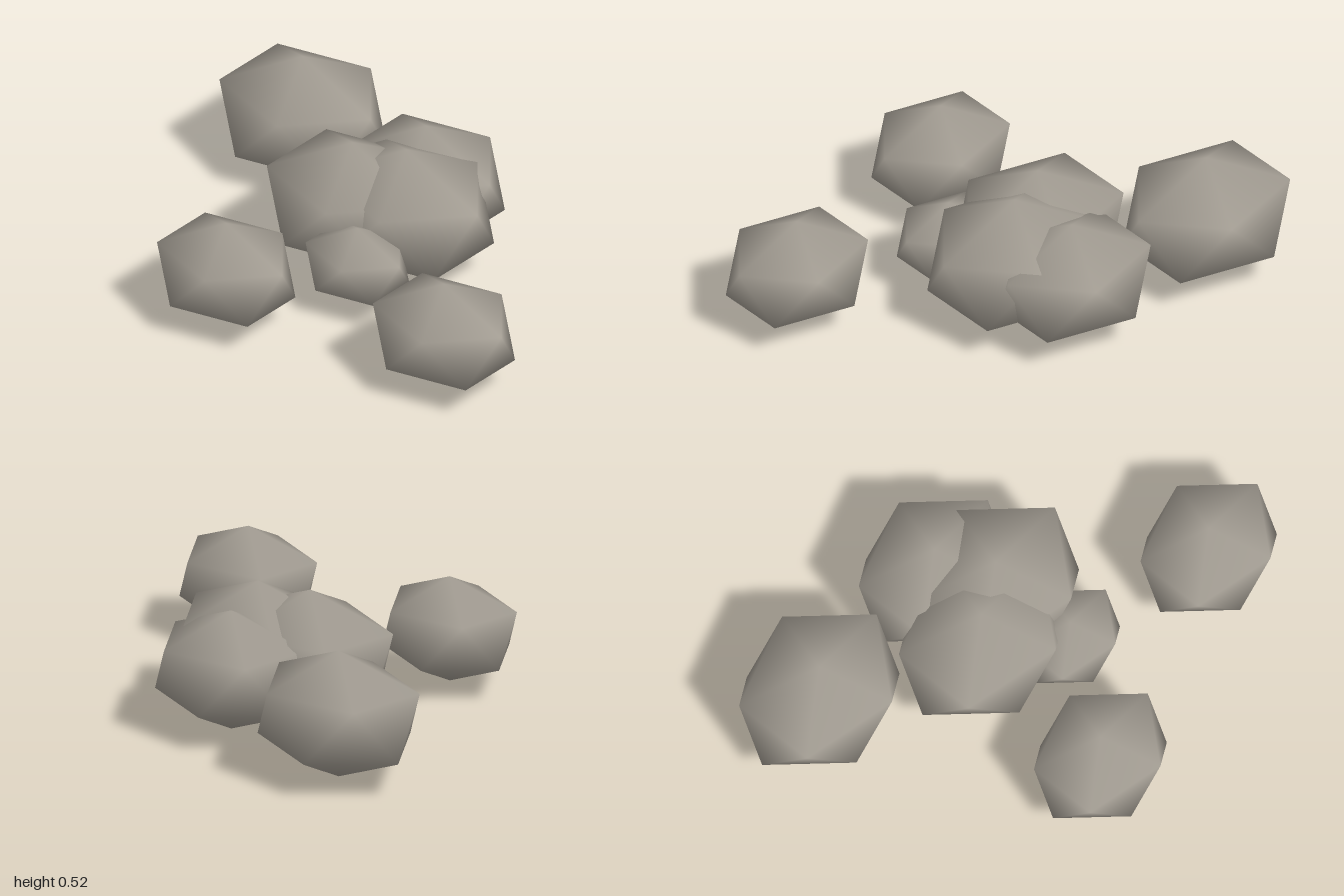
import * as THREE from 'three';

// Unit icosahedron standing on a pole, with shared vertices for smooth normals
function stoneGeometry() {
  const h = 1 / Math.sqrt(5), r = 2 * h;
  const points = [0, 1, 0];
  for (let ring = 0; ring < 2; ring++) {
    for (let i = 0; i < 5; i++) {
      const a = (i + ring / 2) * Math.PI * 2 / 5;
      points.push(r * Math.cos(a), ring ? -h : h, r * Math.sin(a));
    }
  }
  points.push(0, -1, 0);

  const faces = [];
  for (let i = 0; i < 5; i++) {
    const j = (i + 1) % 5;
    const u = 1 + i, un = 1 + j, l = 6 + i, ln = 6 + j;
    faces.push(0, un, u, u, un, l, l, un, ln, l, ln, 11);
  }
  const geometry = new THREE.BufferGeometry();
  geometry.setAttribute('position', new THREE.Float32BufferAttribute(points, 3));
  geometry.setIndex(faces);
  geometry.computeVertexNormals();
  return geometry;
}

export function createModel() {
  const group = new THREE.Group();
  group.name = 'stoneCluster';
  const stone = new THREE.MeshStandardMaterial({ color: 0xa39d93 });
  stone.name = 'warm grey stone';
  const geometry = stoneGeometry();

  // name, centre x, y, z, size
  const stones = [
    ['backRightStone', -0.662, 0.261, -0.468, 0.314],
    ['backStone', -0.02, 0.254, -0.439, 0.295],
    ['middleRightStone', -0.117, 0.267, -0.13, 0.322],
    ['middleLeftStone', 0.075, 0.268, -0.22, 0.328],
    ['smallStone', 0.118, 0.201, 0.109, 0.195],
    ['frontStone', -0.187, 0.235, 0.508, 0.26],
    ['outerLeftStone', 0.712, 0.237, 0.293, 0.267],
  ];
  for (const [name, x, y, z, s] of stones) {
    const mesh = new THREE.Mesh(geometry, stone);
    mesh.name = name;
    mesh.position.set(x, y, z);
    mesh.scale.set(1.2 * s, 0.8 * s, s);
    group.add(mesh);
  }
  return group;
}
